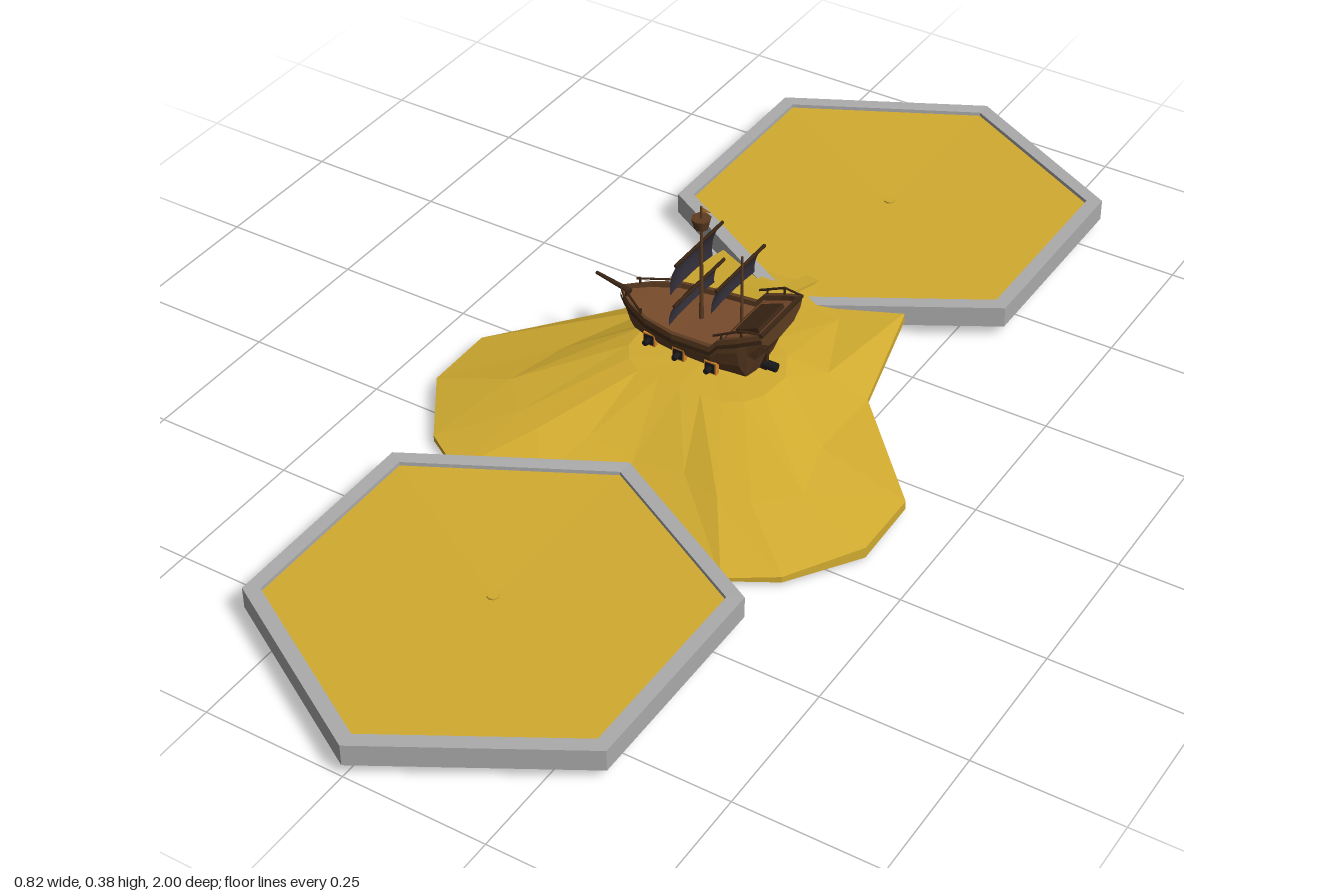
import * as THREE from 'three';

const mat = (name, color, side = THREE.FrontSide) => {
  const m = new THREE.MeshStandardMaterial({ color, side });
  m.name = name;
  return m;
};

export function createModel() {
  const sand = mat('sand', 0xd2ac30);
  const stone = mat('stone', 0xacacac);
  const wood = mat('hullWood', 0x5e3d22);
  const darkWood = mat('darkWood', 0x3c2615);
  const deckWood = mat('deckWood', 0x7a4c2c);
  const black = mat('iron', 0x1a1a1c);
  const cloth = mat('sailCloth', 0x302c36, THREE.DoubleSide);
  const orange = mat('orange', 0xd8842a, THREE.DoubleSide);

  const model = new THREE.Group();
  model.name = 'shipIsland';
  const add = (parent, name, geo, material, x = 0, y = 0, z = 0) => {
    const m = new THREE.Mesh(geo, material);
    m.name = name;
    m.position.set(x, y, z);
    parent.add(m);
    return m;
  };

  // Flat-faced surface through rows of points
  const grid = (rows) => {
    const out = [];
    for (let i = 0; i < rows.length - 1; i++) {
      for (let j = 0; j < rows[i].length - 1; j++) {
        const a = rows[i][j], b = rows[i + 1][j], c = rows[i + 1][j + 1], d = rows[i][j + 1];
        out.push(...a, ...b, ...c, ...a, ...c, ...d);
      }
    }
    const g = new THREE.BufferGeometry();
    g.setAttribute('position', new THREE.Float32BufferAttribute(out, 3));
    g.computeVertexNormals();
    return g;
  };

  // Round beam between two points
  const beam = (parent, name, a, b, r, material, r2 = r) => {
    const p = new THREE.Vector3(...a), q = new THREE.Vector3(...b);
    const d = q.clone().sub(p);
    const m = add(parent, name, new THREE.CylinderGeometry(r2, r, d.length(), 6), material);
    m.position.copy(p).add(q).multiplyScalar(0.5);
    m.quaternion.setFromUnitVectors(new THREE.Vector3(0, 1, 0), d.normalize());
    return m;
  };

  // Hexagonal platforms, each with its rear corner sagging a little
  const sag = (geo) => {
    const p = geo.attributes.position;
    for (let i = 0; i < p.count; i++) if (p.getZ(i) < -0.3) p.setY(i, p.getY(i) - 0.012);
    const flat = geo.index ? geo.toNonIndexed() : geo;
    flat.computeVertexNormals();
    return flat;
  };
  const hexPoints = (r) => Array.from({ length: 6 }, (_, i) => {
    const a = Math.PI / 2 + i * Math.PI / 3;
    return new THREE.Vector2(r * Math.cos(a), r * Math.sin(a));
  });
  for (const [name, z] of [['frontPlatform', 0.62], ['backPlatform', -0.62]]) {
    const g = new THREE.Group();
    g.name = name;
    g.position.z = z;
    model.add(g);
    const ring = new THREE.Shape(hexPoints(0.38));
    ring.holes.push(new THREE.Path(hexPoints(0.352)));
    const rim = new THREE.ExtrudeGeometry(ring, { depth: 0.039, bevelEnabled: false });
    rim.rotateX(-Math.PI / 2).translate(0, 0.023, 0);
    add(g, 'rim', sag(rim), stone);
    const base = new THREE.CylinderGeometry(0.353, 0.353, 0.02, 6).translate(0, 0.033, 0);
    add(g, 'base', sag(base), stone);
    const floor = new THREE.CylinderGeometry(0.353, 0.353, 0.012, 6).translate(0, 0.049, 0);
    add(g, 'sandFloor', sag(floor), sand);
    add(g, 'centreMarker', new THREE.CylinderGeometry(0.01, 0.01, 0.004, 8), sand, 0, 0.056, 0);
  }

  // Sand island: half rings of [x, y, z] from back to front, mirrored
  const edge = [[0, 0.047, -0.36], [0.18, 0.046, -0.35], [0.24, 0.042, -0.11], [0.41, 0.028, 0.07],
    [0.41, 0.027, 0.2], [0.33, 0.02, 0.32], [0.25, 0.018, 0.37], [0.12, 0.025, 0.32], [0, 0.03, 0.28]];
  const edgeLow = [0.03, 0.03, 0.03, 0.012, 0.007, 0.009, 0.012, 0.018, 0.025];
  const mid = [[0, 0.073, -0.25], [0.1, 0.058, -0.26], [0.17, 0.075, -0.1], [0.25, 0.063, 0.06],
    [0.28, 0.058, 0.17], [0.22, 0.056, 0.23], [0.17, 0.056, 0.25], [0.09, 0.054, 0.22], [0, 0.044, 0.23]];
  const midLow = [0.03, 0.03, 0.03, 0.02, 0, 0.004, 0.01, 0.025, 0.03];
  const top = [[0, 0.108, -0.1], [0.07, 0.106, -0.1], [0.11, 0.106, -0.07], [0.135, 0.105, -0.02],
    [0.13, 0.105, 0.04], [0.11, 0.105, 0.07], [0.08, 0.104, 0.09], [0.04, 0.105, 0.09], [0, 0.106, 0.09]];
  const withY = (ring, ys) => ring.map(([x, , z], i) => [x, ys[i], z]);
  const mirrored = (h) => [...h, ...h.slice(0, -1).reverse().map(([x, y, z]) => [-x, y, z])];
  const dot = (y) => edge.map(() => [0, y, 0]);
  add(model, 'island', grid([dot(0.03), withY(mid, midLow), withY(edge, edgeLow), edge, mid, top, dot(0.11)]
    .map(mirrored)), sand);

  // Gangplank from the ship down to the back platform
  const plank = add(model, 'gangplank', new THREE.BoxGeometry(0.026, 0.005, 0.275), sand, 0, 0.093, -0.222);
  plank.rotation.x = -Math.atan2(0.085, 0.255);

  // Ship, bow towards -x
  const ship = new THREE.Group();
  ship.name = 'ship';
  ship.position.z = -0.022;
  model.add(ship);

  // Hull stations: x, keel height, rail height, half width
  const stations = [[-0.182, 0.155, 0.168, 0.004], [-0.165, 0.13, 0.168, 0.02], [-0.145, 0.104, 0.169, 0.036],
    [-0.1, 0.103, 0.17, 0.06], [-0.04, 0.103, 0.17, 0.073], [0.035, 0.103, 0.175, 0.076],
    [0.05, 0.103, 0.194, 0.076], [0.085, 0.103, 0.209, 0.073], [0.1, 0.145, 0.216, 0.07], [0.125, 0.186, 0.226, 0.064]];
  const side = [[1, 1], [1, 0.72], [0.93, 0.45], [0.6, 0.1], [0, 0]];
  const hullRows = stations.map(([x, y0, y1, w]) => {
    const left = side.map(([a, h]) => [x, y0 + h * (y1 - y0), -a * w]);
    return [...left, ...left.slice(0, -1).reverse().map(([px, y, z]) => [px, y, -z])];
  });
  add(ship, 'hull', grid(hullRows), wood);
  const last = hullRows.at(-1);
  const transom = [...last, last[0]];
  add(ship, 'transom', grid([transom, transom.map(() => [0.125, 0.206, 0])]), wood);
  add(ship, 'deck', grid(stations.map(([x, , y1, w]) =>
    [[x, y1 - 0.01, 0.9 * w], [x, y1 - 0.01, -0.9 * w]])), deckWood);
  for (const s of [1, -1]) {
    // Bulwark top and inner wall, and the dark strake along the side
    const order = (row) => (s > 0 ? row : row.reverse());
    add(ship, 'bulwark', grid(stations.map(([x, , y1, w]) =>
      order([[x, y1, s * w], [x, y1, s * w * 0.9], [x, y1 - 0.01, s * w * 0.9]]))), wood);
    add(ship, 'strake', grid(stations.map(([x, , y1, w]) => order([[x, y1 - 0.017, s * (w + 0.002)],
      [x, y1 - 0.009, s * (w + 0.002)]]))), darkWood);
    // Gun ports with cannons
    for (const [x, z] of [[-0.09, 0.058], [-0.028, 0.067], [0.035, 0.07]]) {
      add(ship, 'portFrame', new THREE.BoxGeometry(0.023, 0.023, 0.009), orange, x, 0.132, s * z);
      add(ship, 'portHole', new THREE.BoxGeometry(0.018, 0.018, 0.009), black, x, 0.132, s * (z + 0.001));
      beam(ship, 'cannon', [x, 0.132, s * z], [x, 0.132, s * (z + 0.018)], 0.006, black, 0.005);
    }
    // Bow and stern handrails
    beam(ship, 'bowRail', [-0.165, 0.178, s * 0.018], [-0.11, 0.174, s * 0.054], 0.002, darkWood);
    beam(ship, 'sternRail', [0.04, 0.198, s * 0.073], [0.09, 0.224, s * 0.069], 0.002, darkWood);
    beam(ship, 'sternRail', [0.09, 0.224, s * 0.069], [0.122, 0.226, s * 0.063], 0.002, darkWood);
    for (const [x, y, z] of [[-0.16, 0.168, 0.021], [-0.112, 0.168, 0.052], [0.055, 0.192, 0.073], [0.09, 0.21, 0.069]])
      beam(ship, 'railPost', [x, y, s * z], [x, y + 0.012, s * z], 0.002, darkWood);
  }
  add(ship, 'transomTrim', new THREE.BoxGeometry(0.006, 0.006, 0.13), darkWood, 0.124, 0.224, 0);
  add(ship, 'transomTrim', new THREE.BoxGeometry(0.006, 0.006, 0.1), darkWood, 0.117, 0.188, 0);
  add(ship, 'rudder', new THREE.BoxGeometry(0.014, 0.05, 0.008), darkWood, 0.093, 0.128, 0);
  add(ship, 'cabinHatch', new THREE.BoxGeometry(0.045, 0.01, 0.08), darkWood, 0.085, 0.203, 0).rotation.z = 0.4;
  const barrel = add(ship, 'sternCannon', new THREE.CylinderGeometry(0.008, 0.008, 0.025, 8), black, 0.105, 0.116, 0);
  barrel.rotation.z = Math.PI / 2;
  beam(ship, 'bowsprit', [-0.165, 0.162, 0], [-0.233, 0.176, 0], 0.005, darkWood, 0.003);

  // Masts, crow's nest and flag
  beam(ship, 'mainMast', [-0.027, 0.15, 0], [-0.027, 0.383, 0], 0.004, wood, 0.002);
  beam(ship, 'mizzenMast', [0.05, 0.17, 0], [0.05, 0.313, 0], 0.003, wood, 0.002);
  add(ship, 'crowsNest', new THREE.CylinderGeometry(0.017, 0.012, 0.019, 8), wood, -0.027, 0.351, 0);
  const pennant = new THREE.Shape([[0, 0], [0.018, 0.006], [0, 0.012]].map((p) => new THREE.Vector2(...p)));
  add(ship, 'flag', new THREE.ShapeGeometry(pennant), orange, -0.027, 0.371, 0);

  // Billowing sails hung from yards
  const sail = (x, yLow, yHigh, width, belly) => {
    const geo = new THREE.PlaneGeometry(width, yHigh - yLow, 6, 6).rotateY(Math.PI / 2);
    const p = geo.attributes.position;
    for (let i = 0; i < p.count; i++) {
      const v = p.getY(i) / (yHigh - yLow) + 0.5, u = 2 * p.getZ(i) / width;
      p.setX(i, -belly * Math.sin(Math.PI * (0.12 + 0.88 * v)) * (1 - 0.6 * u * u) - 0.012 * (1 - v));
    }
    geo.computeVertexNormals();
    add(ship, 'sail', geo, cloth, x, (yLow + yHigh) / 2, 0);
    beam(ship, 'yard', [x, yHigh, -width / 2 - 0.008], [x, yHigh, width / 2 + 0.008], 0.003, darkWood);
  };
  sail(-0.031, 0.24, 0.308, 0.13, 0.019);
  sail(-0.031, 0.183, 0.231, 0.14, 0.016);
  sail(0.047, 0.235, 0.289, 0.135, 0.014);

  return model;
}
